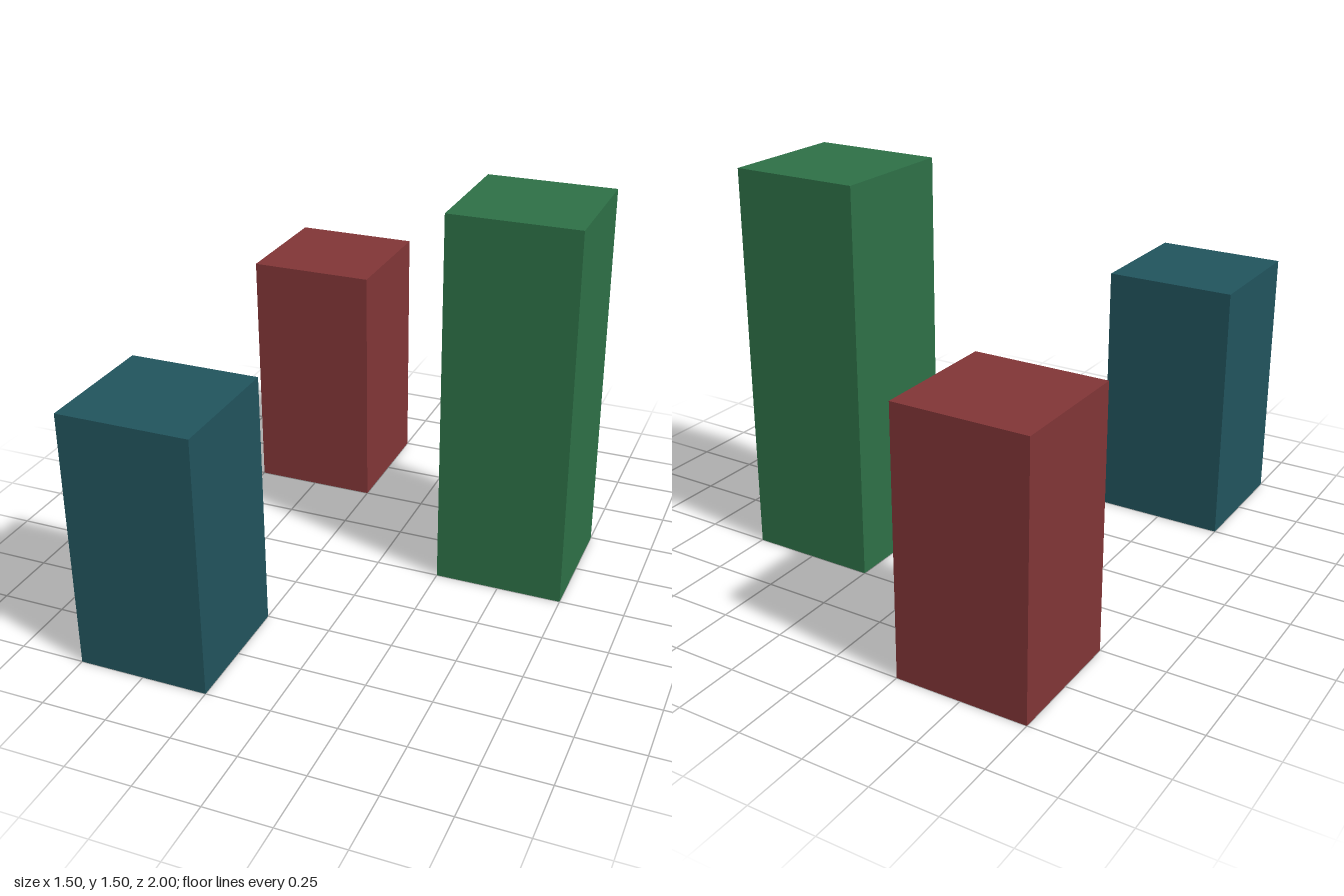
import * as THREE from 'three';

// Square pillar standing on the ground, centred at (x, z)
function pillar(name, material, x, z, height) {
  const mesh = new THREE.Mesh(new THREE.BoxGeometry(0.5, height, 0.5), material);
  mesh.name = name;
  mesh.position.set(x, height / 2, z);
  return mesh;
}

function flatColour(name, color) {
  const material = new THREE.MeshStandardMaterial({ color });
  material.name = name;
  return material;
}

export function createModel() {
  const group = new THREE.Group();
  group.name = 'pillars';
  group.add(
    pillar('frontPillar', flatColour('teal', 0x21535c), -0.5, 0.75, 1),
    pillar('backPillar', flatColour('red', 0x803536), -0.5, -0.75, 1),
    pillar('tallPillar', flatColour('green', 0x2d6f46), 0.5, -0.25, 1.5)
  );
  return group;
}
